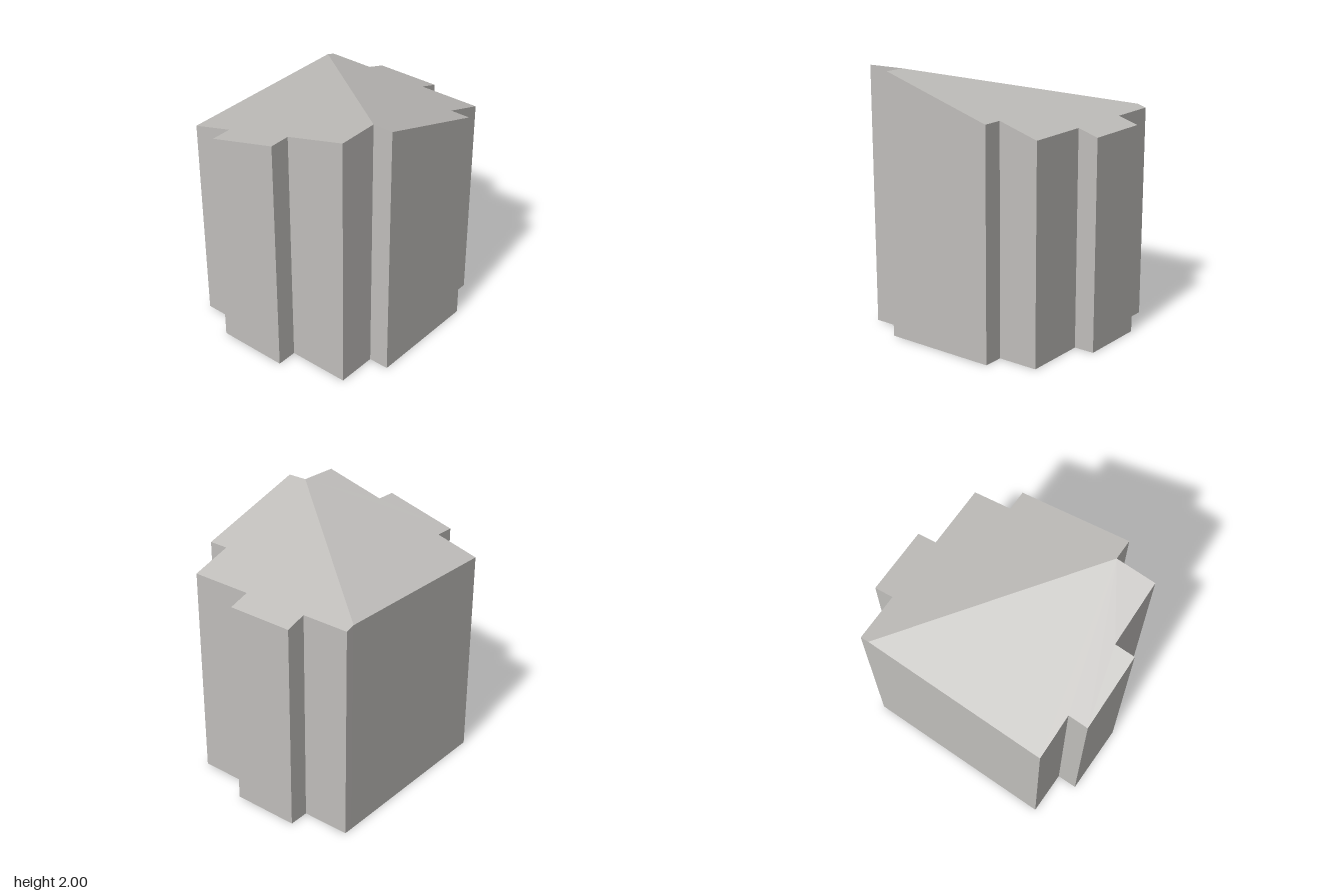
import * as THREE from 'three';

// Footprint [x, z], clockwise from above, starting at the back right corner
const RIDGE_BACK = 1, RIDGE_FRONT = 11;
const footprint = [
  [-0.705, -0.815], [0.736, -0.696], [0.805, -0.69], [0.775, -0.321],
  [0.932, -0.308], [0.889, 0.208], [0.731, 0.195], [0.691, 0.682],
  [0.379, 0.656], [0.366, 0.811], [-0.517, 0.737], [-0.504, 0.58],
  [-0.816, 0.553], [-0.777, 0.075], [-0.935, 0.062], [-0.889, -0.493], [-0.733, -0.48],
];

// Roof height: the lower of two sloping planes that meet along the ridge
const roofHeight = ([x, z]) => Math.min(
  2 + 0.265 * (z - 0.58),
  1.8637 - 0.2985 * (0.9965 * x + 0.083 * z),
);
const ground = () => 0;

function flatGeometry(positions) {
  const geometry = new THREE.BufferGeometry();
  geometry.setAttribute('position', new THREE.Float32BufferAttribute(positions, 3));
  geometry.computeVertexNormals();
  return geometry;
}

// Triangulated surface over an outline, facing up or down
function sheet(outline, height, up) {
  const contour = outline.map(([x, z]) => new THREE.Vector2(x, z));
  const positions = [];
  for (const face of THREE.ShapeUtils.triangulateShape(contour, [])) {
    const [a, b, c] = face.map((i) => contour[i]);
    const facesUp = (b.x - a.x) * (c.y - a.y) - (b.y - a.y) * (c.x - a.x) < 0;
    const order = facesUp === up ? face : [...face].reverse();
    for (const i of order) {
      const [x, z] = outline[i];
      positions.push(x, height(outline[i]), z);
    }
  }
  return flatGeometry(positions);
}

// Vertical walls from the ground up to the roof edge
function wallGeometry() {
  const positions = [];
  footprint.forEach((p, i) => {
    const q = footprint[(i + 1) % footprint.length];
    const p0 = [p[0], 0, p[1]], p1 = [p[0], roofHeight(p), p[1]];
    const q0 = [q[0], 0, q[1]], q1 = [q[0], roofHeight(q), q[1]];
    positions.push(...p0, ...p1, ...q1, ...p0, ...q1, ...q0);
  });
  return flatGeometry(positions);
}

export function createModel() {
  const group = new THREE.Group();
  group.name = 'building';
  const grey = new THREE.MeshStandardMaterial({ color: 0xc0bebb });
  grey.name = 'light grey';

  const add = (name, geometry) => {
    const mesh = new THREE.Mesh(geometry, grey);
    mesh.name = name;
    group.add(mesh);
  };

  add('walls', wallGeometry());
  add('frontLeftRoof', sheet(footprint.slice(RIDGE_BACK, RIDGE_FRONT + 1), roofHeight, true));
  add('backRightRoof', sheet(
    [...footprint.slice(RIDGE_FRONT), ...footprint.slice(0, RIDGE_BACK + 1)], roofHeight, true));
  add('floor', sheet(footprint, ground, false));
  return group;
}
